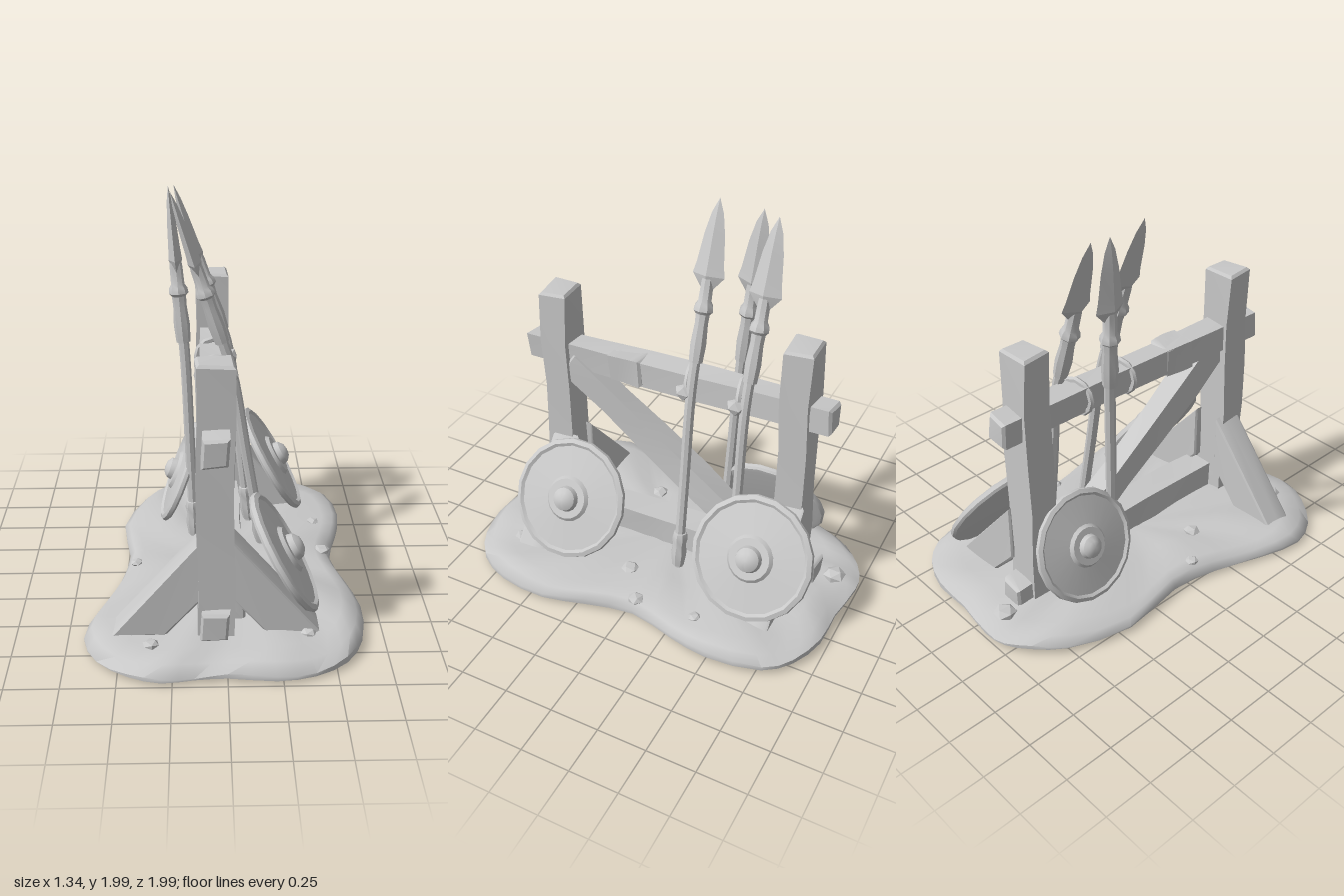
import * as THREE from 'three';
import { toCreasedNormals } from 'three/addons/utils/BufferGeometryUtils.js';

const stone = new THREE.MeshStandardMaterial({ color: 0xc8c8c8 });
stone.name = 'plainGrey';

const V = (x, y, z) => new THREE.Vector3(x, y, z);

export function createModel() {
  const root = new THREE.Group();
  root.name = 'weaponRack';

  function add(name, geometry, parent = root, crease = 0.6) {
    const mesh = new THREE.Mesh(toCreasedNormals(geometry, crease), stone);
    mesh.name = name;
    parent.add(mesh);
    return mesh;
  }

  // Gentle hand-hewn unevenness, the same for coincident vertices
  function hew(geometry, amount = 0.006) {
    const p = geometry.attributes.position;
    for (let i = 0; i < p.count; i++) {
      const x = p.getX(i), y = p.getY(i), z = p.getZ(i);
      p.setXYZ(i,
        x + amount * Math.sin(z * 13 + y * 17 + 1),
        y + amount * Math.sin(z * 11 + x * 19 + 2),
        z + amount * Math.sin(x * 23 + y * 15));
    }
    return geometry;
  }

  // Places local +y along dir, with local z kept close to the hint
  function orient(object, origin, dir, hint = V(0, 0, 1)) {
    const y = dir.clone().normalize();
    const x = y.clone().cross(hint).normalize();
    const z = x.clone().cross(y);
    object.quaternion.setFromRotationMatrix(new THREE.Matrix4().makeBasis(x, y, z));
    object.position.copy(origin);
    return object;
  }

  // Bevelled prism of a polygon, centred on z = 0
  function prism(points, depth, bevel = 0.012, steps = 5) {
    const shape = new THREE.Shape(points.map(([x, y]) => new THREE.Vector2(x, y)));
    const g = new THREE.ExtrudeGeometry(shape, {
      depth: depth - 2 * bevel, steps, bevelEnabled: true, bevelSize: bevel,
      bevelThickness: bevel, bevelOffset: -bevel, bevelSegments: 1,
    });
    return g.translate(0, 0, -depth / 2 + bevel);
  }

  // Timber from a to b: w across, d along the hint direction
  function timber(name, a, b, w, d, hint) {
    const dir = b.clone().sub(a);
    const g = prism([[-w / 2, -d / 2], [w / 2, -d / 2], [w / 2, d / 2], [-w / 2, d / 2]], dir.length());
    g.rotateX(-Math.PI / 2);
    return orient(add(name, hew(g)), a.clone().add(b).multiplyScalar(0.5), dir, hint);
  }

  // Ground slab: rings of one outline, scaled inward and raised
  const outline = [
    [-0.1, -1], [0.12, -0.97], [0.32, -0.97], [0.5, -0.9], [0.61, -0.78], [0.655, -0.5],
    [0.62, -0.3], [0.56, -0.05], [0.61, 0.2], [0.665, 0.42], [0.64, 0.68], [0.55, 0.85],
    [0.4, 0.95], [0.22, 0.985], [0, 0.96], [-0.15, 0.97], [-0.3, 0.99], [-0.45, 0.94],
    [-0.6, 0.82], [-0.67, 0.65], [-0.62, 0.42], [-0.53, 0.15], [-0.49, -0.1],
    [-0.54, -0.45], [-0.44, -0.77], [-0.33, -0.9], [-0.22, -0.98],
  ].map(([x, z]) => V(x, 0, z));
  const rim = new THREE.CatmullRomCurve3(outline, true).getPoints(54).slice(0, 54);
  const rings = [[0, 0.035], [0.6, 0.035], [1, 0.022], [1, 0.04], [0.95, 0.075], [0.85, 0.092], [0.5, 0.1], [0, 0.105]];
  const pos = [], index = [], n = rim.length;
  rings.forEach(([s, y], r) => rim.forEach((p, i) => {
    const wave = r > 2 && s > 0 ? 0.008 * Math.sin(i * 1.1 + r) + 0.015 * p.x * s : 0;
    const tilt = r < 4 ? -0.007 * p.z * s : 0;
    pos.push(p.x * s, y + wave + tilt, p.z * s);
    if (r) {
      const a = (r - 1) * n + i, b = (r - 1) * n + (i + 1) % n;
      index.push(a, a + n, b, b, a + n, b + n);
    }
  }));
  const ground = new THREE.BufferGeometry();
  ground.setAttribute('position', new THREE.Float32BufferAttribute(pos, 3));
  ground.setIndex(index);
  add('groundSlab', ground, root, 0.9);

  // Loose stones
  [[-0.28, 0.23, 0.045], [-0.45, 0.06, 0.035], [0.34, 0.08, 0.05], [0.52, -0.05, 0.045],
    [0.5, -0.37, 0.035], [-0.35, 0.8, 0.04], [-0.1, -0.88, 0.06], [0.38, 0.72, 0.04]].forEach(([x, z, r], i) => {
    const m = add('looseStone', new THREE.IcosahedronGeometry(r, 0), root, 0.2);
    m.position.set(x, 0.095, z);
    m.scale.y = 0.5;
    m.rotation.y = i * 1.3;
  });

  // Two posts, rails and the diagonal
  const cx = -0.05;
  timber('frontPost', V(cx, 0.06, 0.665), V(cx, 1.42, 0.665), 0.17, 0.145);
  timber('rearPost', V(cx, 0.06, -0.645), V(cx, 1.455, -0.645), 0.17, 0.145);
  timber('topRail', V(cx, 1.06, 0.85), V(cx, 1.1, -0.82), 0.12, 0.135, V(0, 1, 0));
  timber('railWrap', V(cx, 1.069, 0.37), V(cx, 1.074, 0.18), 0.135, 0.145, V(0, 1, 0));
  timber('groundLog', V(0.015, 0.165, 0.6), V(0.015, 0.175, -0.6), 0.15, 0.16, V(0, 1, 0));
  timber('frontLogEnd', V(-0.055, 0.16, 0.785), V(-0.055, 0.16, 0.6), 0.13, 0.14, V(0, 1, 0));
  timber('rearLogEnd', V(-0.055, 0.14, -0.6), V(-0.055, 0.13, -0.8), 0.13, 0.12, V(0, 1, 0));
  timber('diagonalBrace', V(-0.04, 1.02, 0.61), V(-0.04, 0.15, -0.56), 0.11, 0.15, V(0, 1, 0));

  // Splayed side braces, drawn for the right-hand side
  const bracePoints = [[0.14, 0.08], [0.235, 0.08], [0.49, 0.08], [0.07, 0.575], [0.07, 0.27]];
  [[0.635, 0], [0.635, Math.PI], [-0.65, 0]].forEach(([z, turn]) => {
    const m = add('sideBrace', hew(prism(bracePoints.slice(1), 0.155, 0.01, 2), 0.004));
    m.position.set(-0.045, 0, z);
    m.rotation.y = turn;
  });

  // Round shields with raised rim and boss
  function shield(name, center, normal, radius) {
    const profile = [[0, 0.005], [0.28, -0.015], [0.305, -0.012], [0.315, 0], [0.312, 0.02], [0.29, 0.03],
      [0.275, 0.018], [0.12, 0.034], [0.105, 0.052], [0.068, 0.052], [0.06, 0.08], [0.035, 0.1], [0, 0.107]];
    const g = new THREE.LatheGeometry(profile.map(([r, y]) => new THREE.Vector2(r, y)), 18);
    const m = orient(add(name, g), center, normal);
    m.scale.setScalar(radius / 0.315);
  }
  shield('frontShield', V(0.275, 0.375, 0.465), V(0.86, 0.51, 0), 0.315);
  shield('rearShield', V(0.275, 0.39, -0.57), V(0.86, 0.51, 0), 0.315);
  shield('sideShield', V(-0.22, 0.36, -0.47), V(-0.93, 0.36, 0), 0.285);

  // Spears: bent shaft, bound neck, flat blade
  function spear(foot, bend, tip) {
    const g = new THREE.Group();
    g.name = 'spear';
    root.add(g);
    const dir = tip.clone().sub(bend).normalize();
    const neck = tip.clone().addScaledVector(dir, -0.6);
    const path = new THREE.CatmullRomCurve3([foot, foot.clone().lerp(bend, 0.5), bend, neck]);
    add('shaft', new THREE.TubeGeometry(path, 16, 0.027, 8), g);
    const lathe = (pts, sides) => new THREE.LatheGeometry(pts.map(([r, y]) => new THREE.Vector2(r, y)), sides);
    const binding = lathe([[0, -0.8], [0.036, -0.79], [0.041, -0.7], [0.034, -0.6], [0.036, -0.55],
      [0.05, -0.535], [0.046, -0.51], [0.034, -0.49], [0.032, -0.4], [0.02, -0.3]], 8);
    orient(add('neckBinding', binding, g), tip, dir);
    const blade = lathe([[0, -0.45], [0.03, -0.43], [0.082, -0.365], [0.07, -0.31], [0.052, -0.17], [0.03, -0.07], [0, 0]], 4);
    orient(add('blade', blade.scale(0.42, 1, 1), g, 0.3), tip, dir);
    const up = bend.clone().sub(foot);
    const butt = lathe([[0, 0], [0.032, 0.01], [0.042, 0.08], [0.034, 0.13], [0.042, 0.17], [0.034, 0.2], [0, 0.21]], 8);
    orient(add('buttCap', butt, g), foot, up);
  }
  spear(V(0.21, 0.1, -0.13), V(0.04, 1.1, -0.115), V(-0.25, 1.985, -0.11));
  spear(V(-0.15, 0.1, -0.22), V(-0.19, 1.1, -0.265), V(-0.265, 1.97, -0.325));
  spear(V(0.15, 0.1, -0.4), V(0.035, 1.1, -0.4), V(-0.24, 1.96, -0.41));

  // Rope lashings around the rail, with knots
  [-0.1, -0.375].forEach((z) => {
    const loop = add('lashing', new THREE.TorusGeometry(0.088, 0.016, 6, 12));
    loop.position.set(-0.045, 1.085, z + 0.03);
    loop.rotation.y = 0.2;
    const knot = add('lashingKnot', new THREE.IcosahedronGeometry(0.045, 0), root, 0.2);
    knot.position.set(0.045, 1.075, z + 0.02);
    knot.scale.set(0.8, 1, 1.2);
  });

  // Buried tips under the slab
  [[-0.15, -0.22], [0.15, -0.4]].forEach(([x, z]) => {
    const tip = add('buriedTip', new THREE.ConeGeometry(0.025, 0.06, 6));
    tip.rotation.x = Math.PI;
    tip.position.set(x, 0.03, z);
  });

  return root;
}
